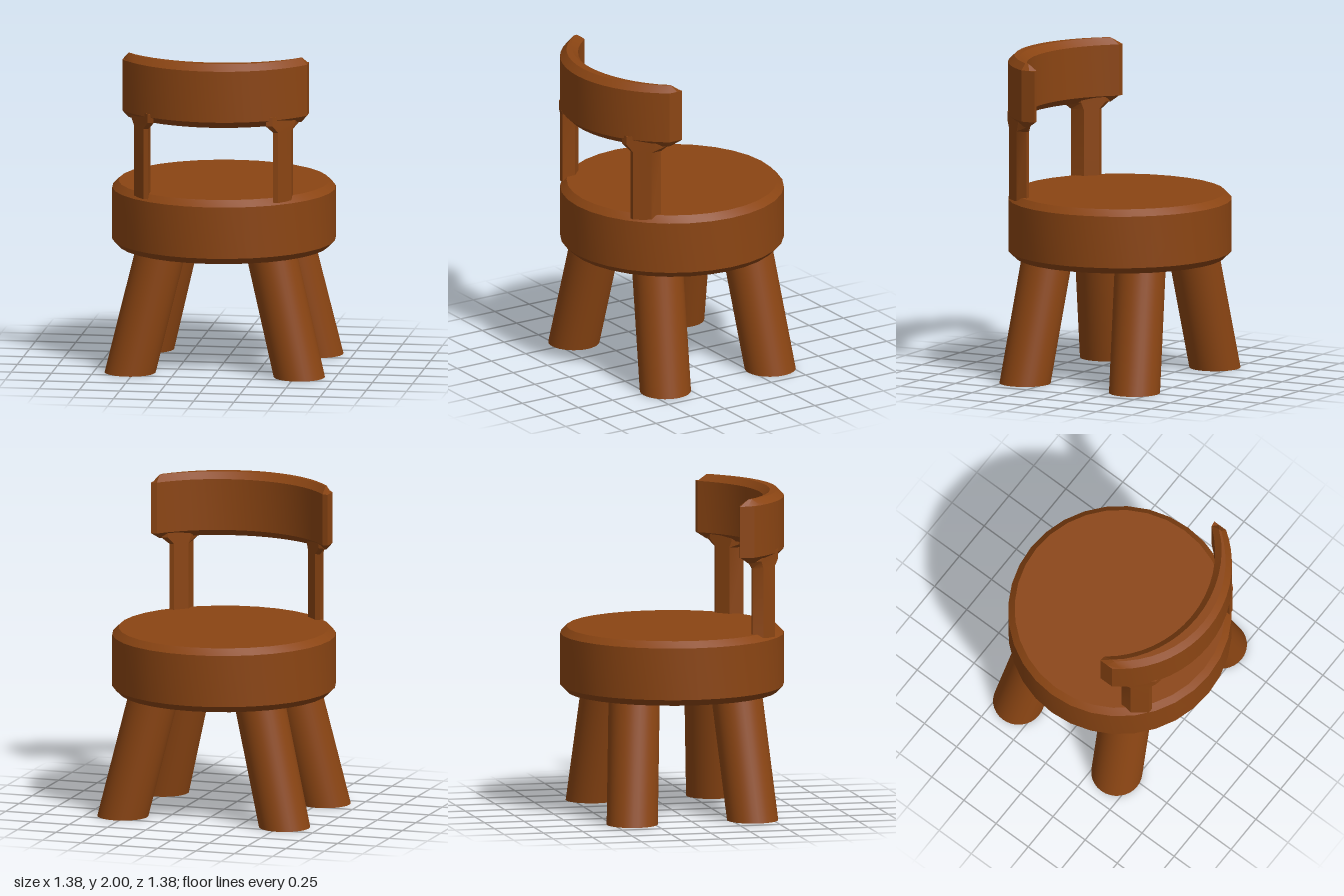
import * as THREE from 'three';
import { toCreasedNormals } from 'three/addons/utils/BufferGeometryUtils.js';

const wood = new THREE.MeshStandardMaterial({ color: 0x8b4513 });

// Skin a row of equal rings (counter-clockwise about the row's direction) and cap both ends
function loft(rings) {
  const n = rings[0].length, last = rings.length - 1, index = [];
  for (let i = 0; i < last; i++) {
    for (let j = 0; j < n; j++) {
      const a = i * n + j, b = i * n + (j + 1) % n;
      index.push(a, b, b + n, a, b + n, a + n);
    }
  }
  for (let j = 1; j < n - 1; j++) {
    index.push(0, j + 1, j, last * n, last * n + j, last * n + j + 1);
  }
  const geometry = new THREE.BufferGeometry();
  geometry.setAttribute('position', new THREE.Float32BufferAttribute(rings.flat(2), 3));
  geometry.setIndex(index);
  return toCreasedNormals(geometry, 0.4);
}

function add(group, name, geometry) {
  const mesh = new THREE.Mesh(geometry, wood);
  mesh.name = name;
  group.add(mesh);
}

// Round seat with bevelled rims
function seatGeometry() {
  const profile = [[0, 0.745], [0.65, 0.745], [0.69, 0.785], [0.69, 1.107], [0.65, 1.147], [0, 1.147]]
    .map(([r, y]) => new THREE.Vector2(r, y));
  return toCreasedNormals(new THREE.LatheGeometry(profile, 32), 0.4);
}

// Round leg, sheared outwards so that its foot stays level
function legGeometry(sx, sz) {
  const height = 0.78;
  const geometry = new THREE.CylinderGeometry(0.158, 0.158, height, 32);
  geometry.translate(0, height / 2, 0);
  const p = geometry.attributes.position;
  for (let i = 0; i < p.count; i++) {
    const y = p.getY(i);
    p.setX(i, p.getX(i) + sx * (0.527 - 0.24 * y));
    p.setZ(i, p.getZ(i) + sz * (0.382 - 0.075 * y));
  }
  return toCreasedNormals(geometry, 0.5);
}

// Post following the seat's rim, flared along the rim under the backrest
function postGeometry(side) {
  const outline = [[0.39, 0.55], [0.42, 0.55], [0.49, 0.46], [0.49, 0.39], [0.46, 0.39], [0.39, 0.46]];
  const ring = (y, flare) => {
    const points = outline.map(([x, z]) => {
      const shift = flare * ((x - 0.44) * 0.73 - (z - 0.47) * 0.68);
      return [side * (x + 0.73 * shift), y, z - 0.68 * shift];
    });
    return side > 0 ? points : points.reverse();
  };
  return loft([ring(1.12, 0), ring(1.56, 0), ring(1.605, 0.6), ring(1.66, 0.6)]);
}

// Crescent backrest: outside on the seat's rim, inside on a circle set further forward
function backrestGeometry() {
  const xs = [-0.575];
  for (let i = -8; i <= 8; i++) xs.push(0.69 * Math.sin(i / 8 * 0.9));
  xs.push(0.575);
  const rings = xs.map((x, i) => {
    const drop = i === 0 || i === xs.length - 1 ? 0.04 : 0;
    const outer = Math.sqrt(0.69 ** 2 - x * x);
    const inner = Math.max(0.29, Math.sqrt(0.685 ** 2 - x * x) - 0.125);
    const bevel = Math.min(0.04 * 0.69 / outer, (outer - inner) * 0.42);
    const top = 2 - drop, bottom = 1.6 + drop;
    return [
      [x, top, inner + bevel], [x, top, outer - bevel],
      [x, 1.96, outer], [x, 1.64, outer],
      [x, bottom, outer - bevel], [x, bottom, inner + bevel],
      [x, 1.64, inner], [x, 1.96, inner],
    ];
  });
  return loft(rings);
}

export function createModel() {
  const chair = new THREE.Group();
  chair.name = 'chair';
  add(chair, 'seat', seatGeometry());
  add(chair, 'backrest', backrestGeometry());
  for (const side of [1, -1]) {
    const label = side > 0 ? 'left' : 'right';
    add(chair, label + 'BackrestPost', postGeometry(side));
    add(chair, label + 'FrontLeg', legGeometry(side, 1));
    add(chair, label + 'RearLeg', legGeometry(side, -1));
  }
  return chair;
}
